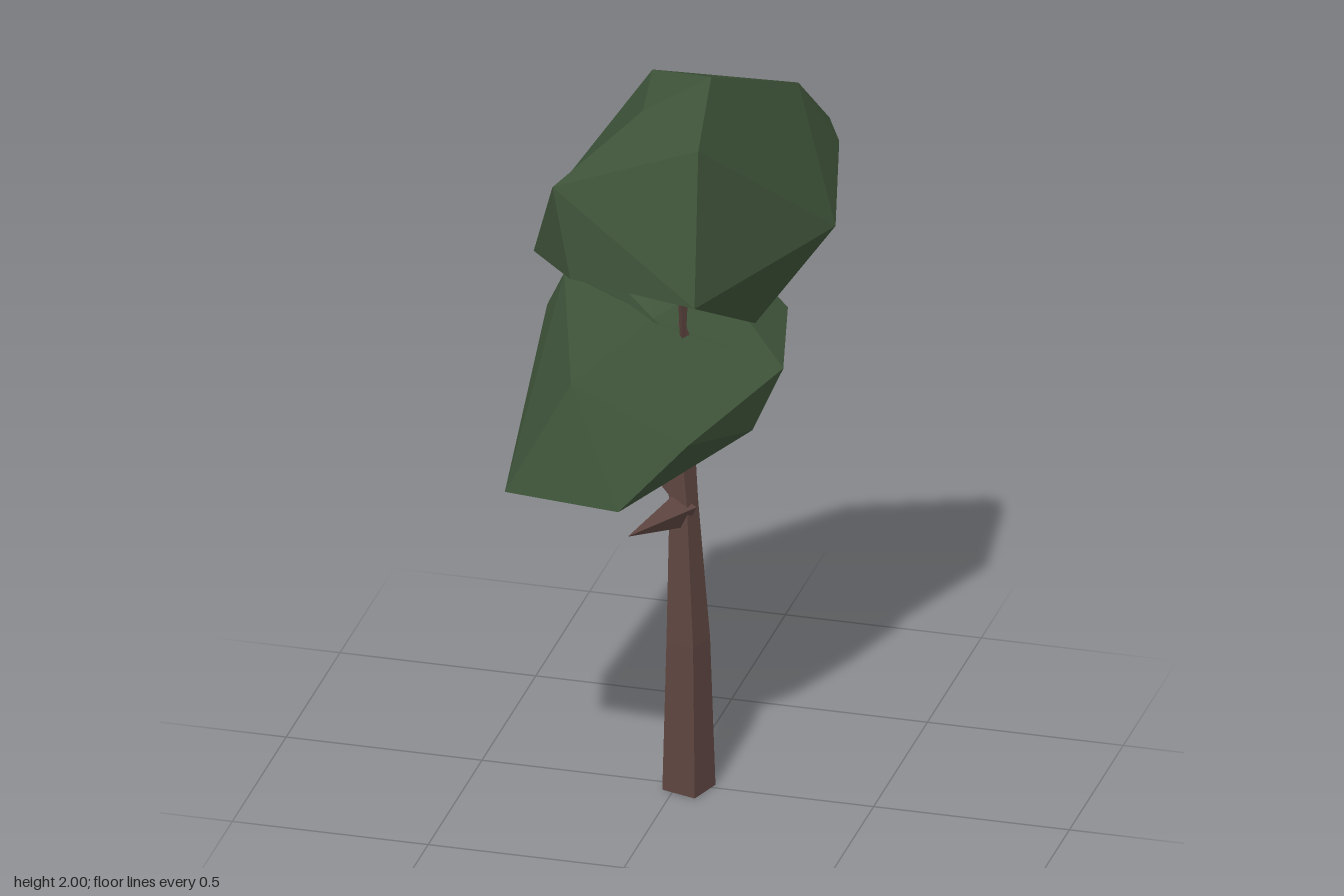
import * as THREE from 'three';
import { ConvexGeometry } from 'three/addons/geometries/ConvexGeometry.js';

const UP = new THREE.Vector3(0, 1, 0);

// Faceted limb through stations [x, y, z, radius]; rings lie across the path unless level is set
function limb(stations, sides, turn = 0, level = false) {
  const centres = stations.map(([x, y, z]) => new THREE.Vector3(x, y, z));
  const rings = stations.map(([, , , r], i) => {
    const dir = centres[Math.min(i + 1, centres.length - 1)].clone()
      .sub(centres[Math.max(i - 1, 0)]).normalize();
    const q = new THREE.Quaternion().setFromUnitVectors(UP, level ? UP : dir);
    return Array.from({ length: sides }, (_, k) => {
      const a = turn + (k / sides) * Math.PI * 2;
      return new THREE.Vector3(Math.cos(a) * r, 0, -Math.sin(a) * r).applyQuaternion(q).add(centres[i]);
    });
  });
  const pts = [];
  const last = rings.length - 1;
  for (let k = 0; k < sides; k++) {
    const n = (k + 1) % sides;
    for (let i = 0; i < last; i++) {
      const [a, b, c, d] = [rings[i][k], rings[i][n], rings[i + 1][n], rings[i + 1][k]];
      pts.push(a, b, c, a, c, d);
    }
    pts.push(centres[0], rings[0][n], rings[0][k], centres[last], rings[last][k], rings[last][n]);
  }
  const geo = new THREE.BufferGeometry().setFromPoints(pts);
  geo.computeVertexNormals();
  return geo;
}

// Faceted leaf mass: the hull of its corners
const mass = (corners) => new ConvexGeometry(corners.map((c) => new THREE.Vector3(...c)));

export function createModel() {
  const model = new THREE.Group();
  model.name = 'tree';
  const bark = new THREE.MeshStandardMaterial({ color: 0x5d4540, flatShading: true });
  bark.name = 'bark brown';
  const leaf = new THREE.MeshStandardMaterial({ color: 0x3e5339, flatShading: true });
  leaf.name = 'leaf green';
  const add = (name, geo, mat) => {
    const mesh = new THREE.Mesh(geo, mat);
    mesh.name = name;
    model.add(mesh);
  };

  // Trunk: tapered, four-sided, leaning a little back as it rises
  add('trunk', limb([
    [0.032, 0, 0.013, 0.067], [0.029, 0.4, 0.008, 0.055], [0.012, 0.77, -0.012, 0.036],
    [-0.015, 0.97, -0.035, 0.045], [-0.02, 1.2, -0.06, 0.036], [-0.022, 1.5, -0.09, 0.028],
  ], 4, -1.086, true), bark);

  // Branches
  add('brokenBranch', limb([[0.008, 0.745, -0.01, 0.046], [-0.07, 0.758, 0.2, 0.001]], 4), bark);
  add('lowerBranch', limb([[0.01, 0.785, -0.02, 0.032], [-0.2, 0.92, -0.14, 0.022],
    [-0.22, 0.96, -0.15, 0.016]], 4, 0.3), bark);
  add('upperBranch', limb([[-0.01, 1.24, -0.05, 0.014], [0.035, 1.255, 0.05, 0.009],
    [0.05, 1.29, 0.135, 0.008], [0.06, 1.42, 0.17, 0.013]], 4), bark);

  // Upper crown: main mass and a shoulder, meeting in a shallow crease
  const crease = [[-0.05, 1.895, 0.143], [-0.31, 1.58, 0], [-0.33, 1.475, 0.138],
    [0.132, 1.875, 0.29], [0.165, 1.52, 0.445], [-0.195, 1.485, 0.29]];
  add('upperCrown', mass([
    ...crease, [0.12, 2, 0.125], [-0.07, 1.93, -0.02], [0.246, 1.84, -0.225], [0.29, 1.69, -0.355],
    [0.315, 1.63, -0.354], [0.363, 1.5, -0.145], [0.06, 1.44, -0.45], [0.225, 1.33, 0.1],
  ]), leaf);
  add('upperCrownShoulder', mass([...crease, [-0.257, 1.7, 0.23]]), leaf);

  // Lower crown: two lobes with a cleft between them on one side
  add('lowerCrownFront', mass([
    [-0.03, 0.94, 0.443], [-0.325, 0.95, 0.425], [-0.365, 0.89, 0.2], [-0.24, 0.875, 0.01],
    [0.2, 1.005, 0.035], [0.255, 1.14, -0.055], [0.115, 1.085, 0.325], [-0.175, 1.23, 0.355],
    [-0.35, 1.235, -0.06], [-0.305, 1.33, -0.055], [-0.06, 1.26, -0.01],
  ]), leaf);
  add('lowerCrownBack', mass([
    [-0.32, 1.41, -0.135], [-0.16, 1.455, -0.19], [0.034, 1.4, -0.24], [0.212, 1.21, -0.252],
    [0.095, 1.11, -0.335], [-0.255, 1.24, -0.338], [-0.305, 1.1, -0.22], [0.02, 1.04, -0.298],
    [-0.05, 0.945, -0.145], [-0.235, 0.885, 0.005], [0.2, 1.006, 0.034], [0.254, 1.14, -0.056],
    [0.075, 1.34, -0.1], [-0.06, 1.265, 0.01],
  ]), leaf);

  return model;
}
